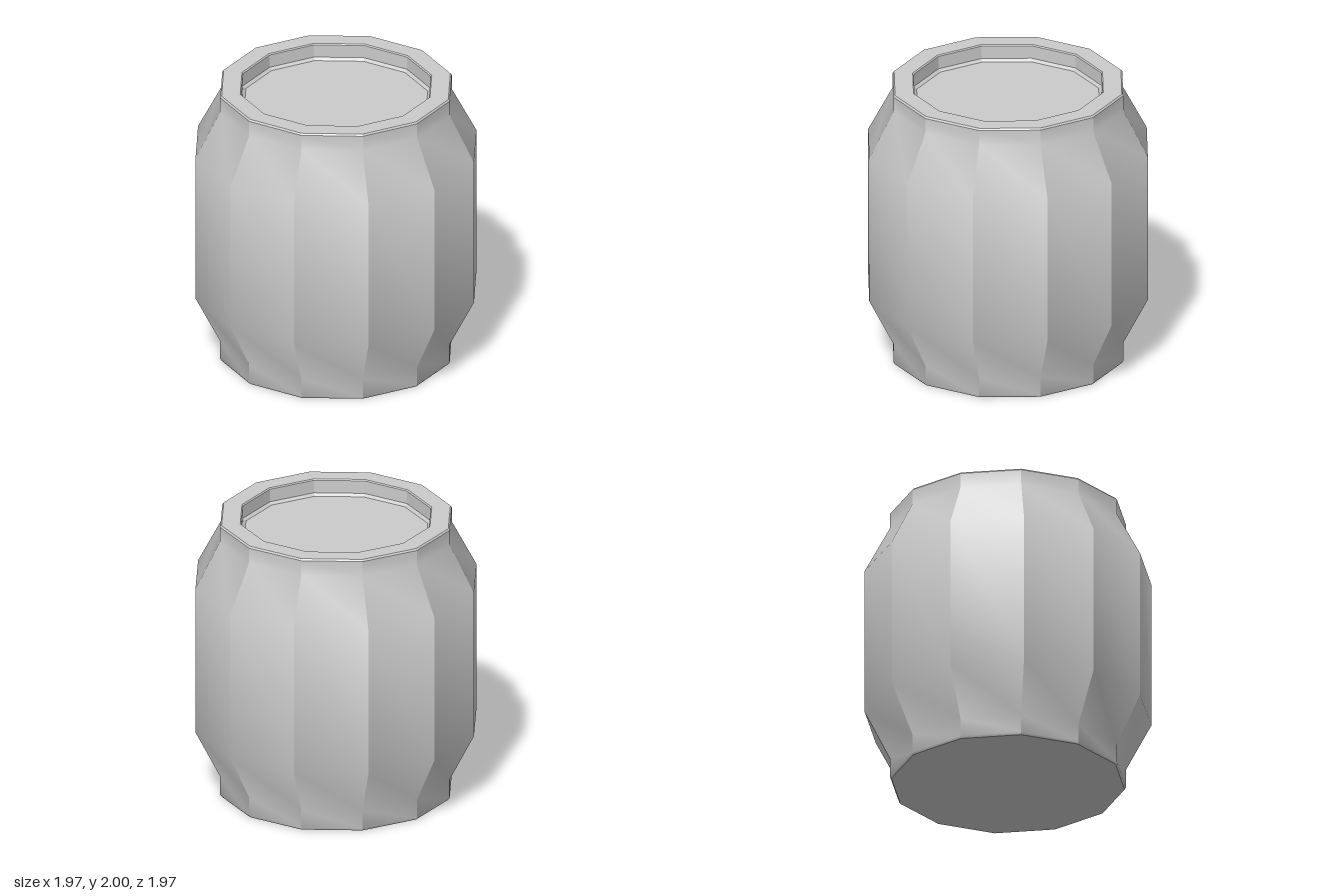
import * as THREE from 'three';
import { mergeGeometries, toCreasedNormals } from 'three/addons/utils/BufferGeometryUtils.js';

const SIDES = 12;

// Outline from the centre of the base, up the outside, over the rim and into the recessed lid
const PROFILE = [
  [0, 0], [0.8, 0], [0.81, 0.015],        // base with a small bevel
  [0.81, 0.15], [0.983, 0.49],            // foot and lower flare
  [0.983, 1.55], [0.81, 1.88],            // belly and upper taper
  [0.81, 1.988], [0.8, 2],                // neck and rim bevel
  [0.67, 2], [0.662, 1.992],              // rim top
  [0.662, 1.9], [0.642, 1.882], [0, 1.882], // recess wall, chamfer and lid
].map(([r, y]) => new THREE.Vector2(r, y));

// One stave: flat across its width, softly shaded along the gentle bends of its height
function stave(i) {
  const step = (Math.PI * 2) / SIDES;
  const geometry = new THREE.LatheGeometry(PROFILE, 1, i * step, step);
  return toCreasedNormals(geometry, 0.6);
}

export function createModel() {
  const group = new THREE.Group();
  group.name = 'barrel';

  const staves = Array.from({ length: SIDES }, (_, i) => stave(i));
  const body = new THREE.Mesh(
    mergeGeometries(staves),
    new THREE.MeshStandardMaterial({ color: 0xcccccc })
  );
  body.name = 'barrelBody';
  group.add(body);

  return group;
}
